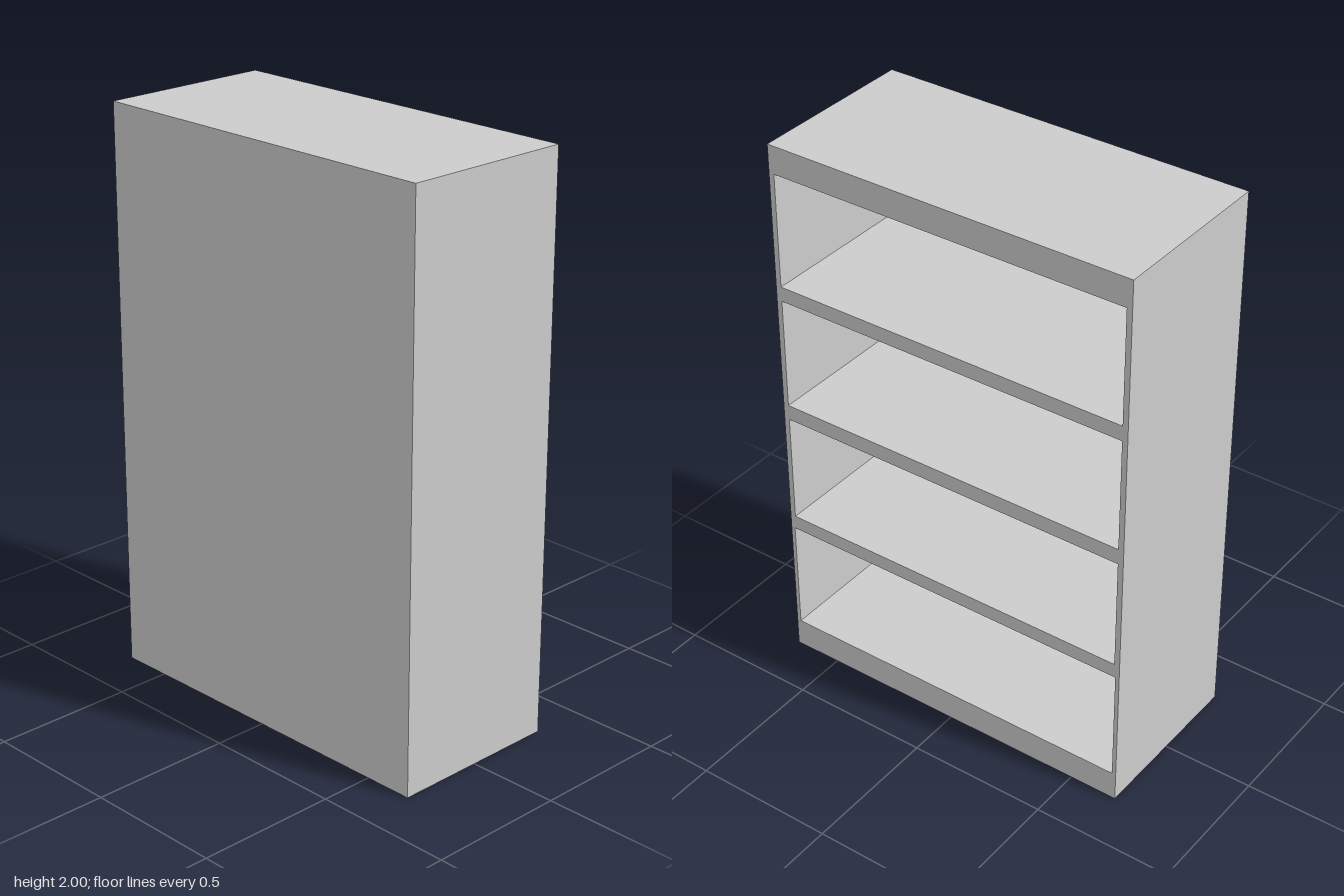
import * as THREE from 'three';

const HALF_X = 0.31, HALF_Z = 0.675, HEIGHT = 2, BACK = 0.02;

// Closed rectangle as a point list: horizontal range, vertical range
const rect = (a0, a1, y0, y1) => [
  new THREE.Vector2(a0, y0), new THREE.Vector2(a1, y0),
  new THREE.Vector2(a1, y1), new THREE.Vector2(a0, y1),
];

export function createModel() {
  const group = new THREE.Group();
  group.name = 'bookcase';
  const material = new THREE.MeshStandardMaterial({ color: 0xcccccc });

  // Sides, top, base and shelves: one slab with four open compartments
  const outline = new THREE.Shape(rect(-HALF_Z, HALF_Z, 0, HEIGHT));
  const compartments = [
    // [half width, floor, ceiling]
    [0.66, 0.105, 0.518],
    [0.655, 0.57, 0.974],
    [0.655, 1.03, 1.436],
    [0.655, 1.49, 1.9],
  ];
  for (const [w, y0, y1] of compartments) {
    outline.holes.push(new THREE.Path(rect(-w, w, y0, y1).reverse()));
  }
  const frameGeometry = new THREE.ExtrudeGeometry(outline, {
    depth: 2 * HALF_X - BACK, bevelEnabled: false,
  });
  frameGeometry.rotateY(Math.PI / 2); // compartments open towards +x
  const frame = new THREE.Mesh(frameGeometry, material);
  frame.position.x = -HALF_X + BACK;
  frame.name = 'frameWithShelves';
  group.add(frame);

  // Thin panel closing the compartments at -x
  const back = new THREE.Mesh(new THREE.BoxGeometry(BACK, HEIGHT, 2 * HALF_Z), material);
  back.position.set(-HALF_X + BACK / 2, HEIGHT / 2, 0);
  back.name = 'backPanel';
  group.add(back);

  return group;
}
